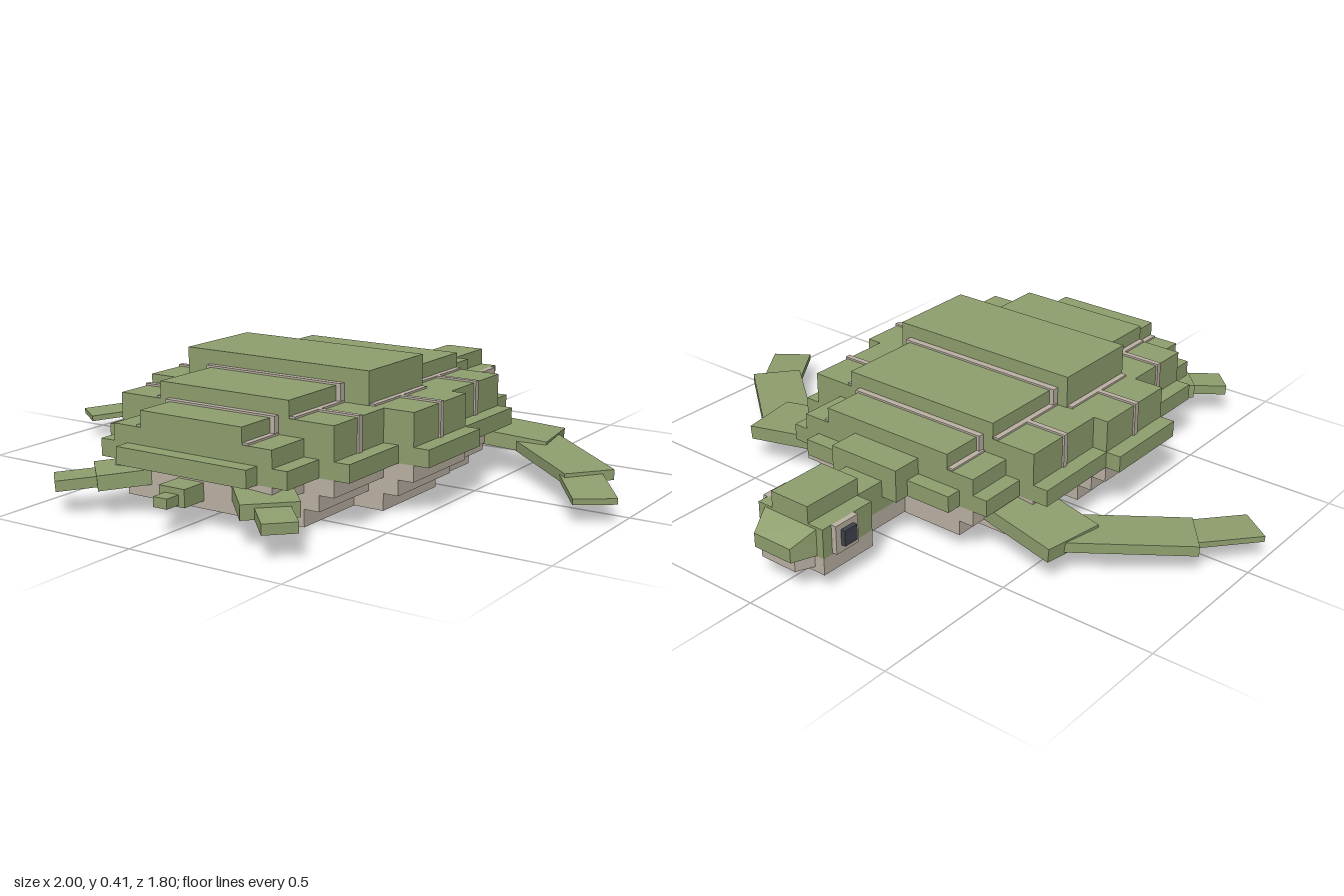
import * as THREE from 'three';

const green = new THREE.MeshStandardMaterial({ color: 0x8f9f6e });
green.name = 'shellGreen';
const tan = new THREE.MeshStandardMaterial({ color: 0xbbb1a4 });
tan.name = 'bellyTan';
const dark = new THREE.MeshStandardMaterial({ color: 0x41434d });
dark.name = 'eyeDark';

// Box given by its limits on each axis
function box(parent, name, mat, x0, x1, y0, y1, z0, z1) {
  const m = new THREE.Mesh(new THREE.BoxGeometry(x1 - x0, y1 - y0, z1 - z0), mat);
  m.position.set((x0 + x1) / 2, (y0 + y1) / 2, (z0 + z1) / 2);
  m.name = name;
  parent.add(m);
  return m;
}

// Box centred on x = 0 with half width w
const mid = (parent, name, mat, w, y0, y1, z0, z1) => box(parent, name, mat, -w, w, y0, y1, z0, z1);

// Flat limb segment running between two points
function limb(parent, name, a, b, width, thick) {
  const p = new THREE.Vector3(...a), q = new THREE.Vector3(...b);
  const m = new THREE.Mesh(new THREE.BoxGeometry(width, thick, p.distanceTo(q)), green);
  m.position.copy(p).add(q).multiplyScalar(0.5);
  m.lookAt(q);
  m.name = name;
  parent.add(m);
}

// Box narrowed and sloped towards its -z end
function snout(parent, name, mat, w0, w1, y0, back, tip, z0, z1) {
  const m = mid(parent, name, mat, w0, y0, back, z0, z1);
  const pos = m.geometry.attributes.position;
  for (let i = 0; i < pos.count; i++) {
    if (pos.getZ(i) > 0) continue;
    pos.setX(i, pos.getX(i) * w1 / w0);
    if (pos.getY(i) > 0) pos.setY(i, pos.getY(i) - (back - tip));
  }
  m.geometry = m.geometry.toNonIndexed();
  m.geometry.computeVertexNormals();
}

// Shell bands from neck to tail: z range, rim half width, centre half width, side top, centre top
const bands = [
  { z0: -0.425, z1: -0.27, rim: 0.38, mid: 0.235, side: 0.255, top: 0.305 },
  { z0: -0.27, z1: 0.03, rim: 0.48, mid: 0.28, side: 0.305, top: 0.357, split: -0.12 },
  { z0: 0.03, z1: 0.33, rim: 0.53, mid: 0.33, side: 0.305, top: 0.407, split: 0.18 },
  { z0: 0.33, z1: 0.585, rim: 0.43, mid: 0.23, side: 0.305, top: 0.357, split: 0.46 },
  { z0: 0.585, z1: 0.735, rim: 0.33, mid: 0.18, side: 0.255, top: 0.305 },
];

export function createModel() {
  const turtle = new THREE.Group();
  turtle.name = 'turtle';

  // Shell and belly
  const shell = new THREE.Group();
  shell.name = 'shell';
  const belly = new THREE.Group();
  belly.name = 'belly';
  turtle.add(shell, belly);
  bands.forEach((b, i) => {
    mid(shell, 'rim', green, b.rim, 0.15, 0.203, b.z0, b.z1);
    mid(shell, 'sidePlates', green, b.rim - 0.05, 0.203, b.side, b.z0, b.z1);
    mid(shell, 'centrePlate', green, b.mid, b.side, b.top, b.z0, b.z1);
    mid(belly, 'bellyUpper', tan, b.rim - 0.05, 0.1, 0.15, b.z0, b.z1);
    mid(belly, 'bellyMiddle', tan, b.rim - 0.1, 0.052, 0.1, b.z0, b.z1);
    if (i > 0 && i < 4) mid(belly, 'bellyBase', tan, b.rim - 0.15, 0, 0.052, b.z0, b.z1);
    // Pale seams beside the centre plate and across the side plates
    for (const s of [-1, 1]) {
      const span = (u, v) => (s > 0 ? [u, v] : [-v, -u]);
      box(shell, 'longSeam', tan, ...span(b.mid, b.mid + 0.018), b.side - 0.03, b.side + 0.006, b.z0 + 0.004, b.z1 - 0.004);
      if (b.split !== undefined) {
        box(shell, 'sideSeam', tan, ...span(b.mid, b.rim - 0.044), 0.203, b.side + 0.006, b.split - 0.009, b.split + 0.009);
      }
    }
  });
  // Pale seams between neighbouring centre plates
  mid(shell, 'crossSeam', tan, 0.245, 0.25, 0.311, -0.29, -0.27);
  mid(shell, 'crossSeam', tan, 0.295, 0.3, 0.363, 0.008, 0.03);
  mid(shell, 'crossSeam', tan, 0.245, 0.3, 0.363, 0.33, 0.35);
  mid(shell, 'crossSeam', tan, 0.195, 0.25, 0.311, 0.585, 0.605);
  // Shell ends
  mid(shell, 'frontRim', green, 0.28, 0.15, 0.203, -0.475, -0.425);
  mid(shell, 'backRim', green, 0.23, 0.15, 0.203, 0.735, 0.785);

  // Neck and head, facing -z
  const head = new THREE.Group();
  head.name = 'head';
  turtle.add(head);
  mid(head, 'neckCollar', green, 0.125, 0.15, 0.255, -0.525, -0.42);
  mid(head, 'neck', green, 0.07, 0.108, 0.203, -0.63, -0.4);
  mid(head, 'throat', tan, 0.07, 0.055, 0.108, -0.63, -0.42);
  mid(head, 'skull', green, 0.125, 0.108, 0.203, -0.83, -0.63);
  mid(head, 'crest', green, 0.07, 0.203, 0.257, -0.83, -0.625);
  mid(head, 'jaw', tan, 0.125, 0.055, 0.108, -0.83, -0.63);
  snout(head, 'snout', green, 0.1, 0.07, 0.11, 0.195, 0.155, -0.905, -0.83);
  snout(head, 'chin', tan, 0.09, 0.065, 0.07, 0.11, 0.11, -0.885, -0.83);

  // Eyes, flippers and legs on both sides
  for (const s of [-1, 1]) {
    const side = s > 0 ? 'left' : 'right';
    const span = (u, v) => (s > 0 ? [u, v] : [-v, -u]);
    box(head, side + 'EyePatch', tan, ...span(0.12, 0.142), 0.112, 0.203, -0.795, -0.705);
    box(head, side + 'Eye', dark, ...span(0.14, 0.157), 0.135, 0.185, -0.775, -0.725);

    const fore = new THREE.Group();
    fore.name = side + 'FrontFlipper';
    limb(fore, 'upperFlipper', [s * 0.3, 0.128, -0.268], [s * 0.61, 0.1, -0.318], 0.2, 0.045);
    limb(fore, 'middleFlipper', [s * 0.53, 0.102, -0.31], [s * 0.85, 0.086, -0.05], 0.16, 0.032);
    limb(fore, 'flipperTip', [s * 0.825, 0.083, -0.045], [s * 0.948, 0.07, 0.125], 0.128, 0.018);

    const hind = new THREE.Group();
    hind.name = side + 'HindFlipper';
    limb(hind, 'upperLeg', [s * 0.2, 0.115, 0.675], [s * 0.31, 0.103, 0.785], 0.165, 0.045);
    limb(hind, 'foot', [s * 0.29, 0.1, 0.755], [s * 0.398, 0.09, 0.863], 0.1, 0.032);
    turtle.add(fore, hind);
  }

  // Tail
  const tail = new THREE.Group();
  tail.name = 'tail';
  turtle.add(tail);
  mid(tail, 'tailBase', green, 0.045, 0.075, 0.128, 0.72, 0.82);
  mid(tail, 'tailTip', green, 0.024, 0.08, 0.11, 0.82, 0.87);

  return turtle;
}
